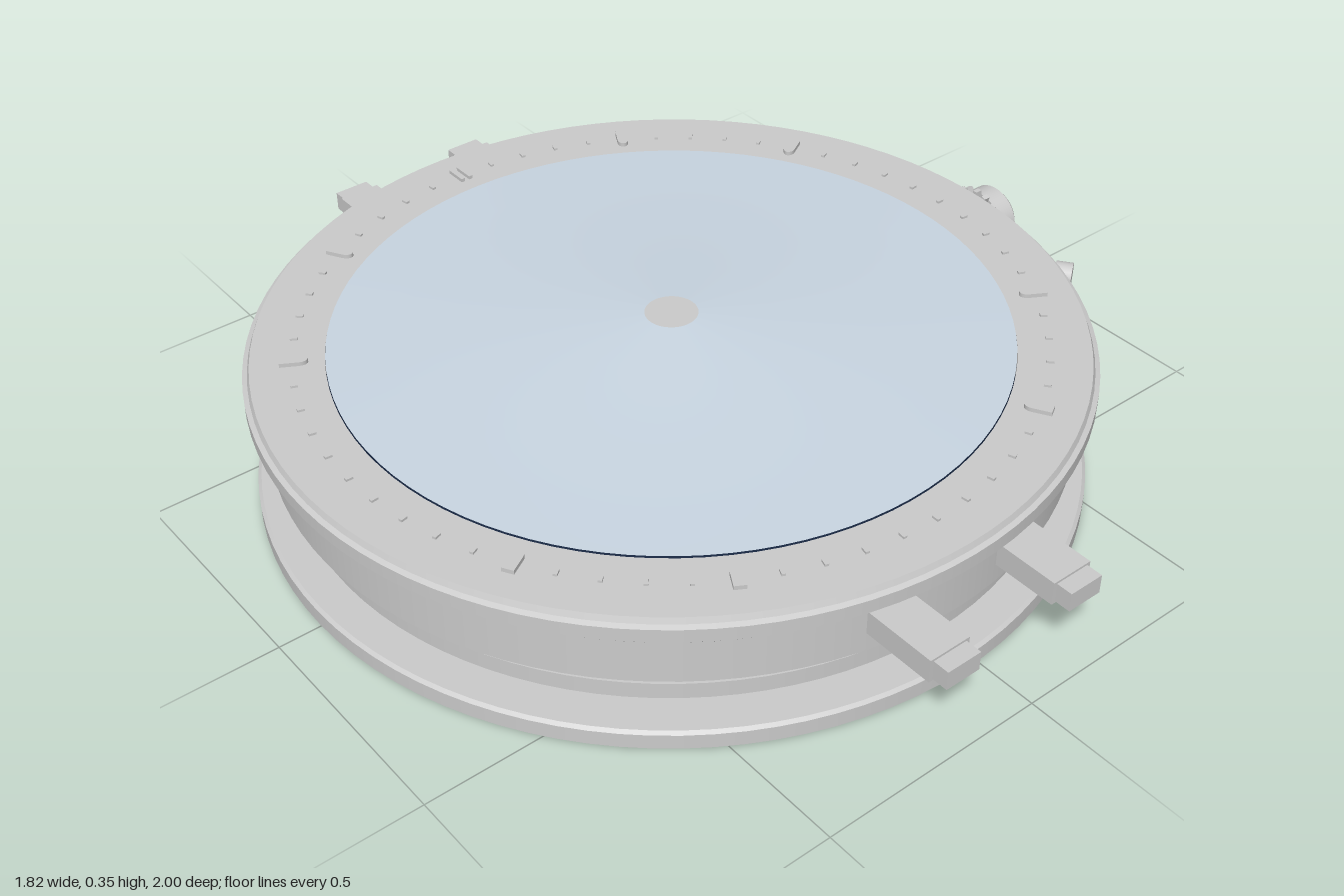
import * as THREE from 'three';

const CX = -0.045; // axis of the round case
const mat = (color, extra = {}) => new THREE.MeshStandardMaterial({ color, ...extra });
const grey = mat(0xcccccc);
const glass = mat(0xc9d6e2, { side: THREE.DoubleSide });
const blue = mat(0x2a3f8f);
const red = mat(0xd81e4a);
const gold = mat(0xd9b27c);

function add(parent, name, geometry, material, x = 0, y = 0, z = 0) {
  const mesh = new THREE.Mesh(geometry, material);
  mesh.name = name;
  mesh.position.set(x, y, z);
  parent.add(mesh);
  return mesh;
}

// Lathe with hard edges: each profile segment gets its own band
function turned(parent, name, points, material) {
  const group = new THREE.Group();
  group.name = name;
  for (let i = 0; i < points.length - 1; i++) {
    const pair = [points[i], points[i + 1]].map(([r, y]) => new THREE.Vector2(r, y));
    add(group, name + 'Band', new THREE.LatheGeometry(pair, 96), material);
  }
  parent.add(group);
  return group;
}

// Toothed wheel lying flat
function gear(parent, name, r, teeth, h, x, y, z) {
  const shape = new THREE.Shape();
  for (let i = 0; i < teeth; i++) {
    [[0, r - 0.02], [0.25, r], [0.5, r], [0.75, r - 0.02]].forEach(([t, d], k) => {
      const a = ((i + t) / teeth) * Math.PI * 2;
      shape[i + k ? 'lineTo' : 'moveTo'](Math.cos(a) * d, Math.sin(a) * d);
    });
  }
  shape.closePath();
  const geo = new THREE.ExtrudeGeometry(shape, { depth: h, bevelEnabled: false });
  add(parent, name, geo.rotateX(-Math.PI / 2), gold, x, y, z);
}

// Cylinder lying along +x
const rod = (r, length, sides = 24, r2 = r) =>
  new THREE.CylinderGeometry(r2, r, length, sides).rotateZ(-Math.PI / 2);

export function createModel() {
  const model = new THREE.Group();
  model.name = 'watch';
  const body = new THREE.Group();
  body.name = 'body';
  body.position.x = CX;
  model.add(body);

  // Case back with an inset window
  turned(body, 'caseBack', [[0.585, 0.008], [0.595, 0], [0.858, 0], [0.865, 0.006],
    [0.865, 0.039], [0.858, 0.045], [0, 0.045]], grey);
  add(body, 'backWindow', new THREE.CylinderGeometry(0.585, 0.585, 0.012, 96), mat(0xb9c6cb), 0, 0.012, 0);

  // Movement plate
  turned(body, 'movementPlate', [[0, 0.062], [0.795, 0.062], [0.795, 0.098], [0, 0.098]], grey);
  gear(body, 'largeWheel', 0.32, 72, 0.034, 0.325, 0.098, -0.2);

  // Jewels in their settings
  const jewels = [[-0.58, 0.31], [-0.52, 0.22], [-0.35, 0.48], [-0.27, 0.37],
    [-0.18, 0.22], [0.2, 0.48], [0.43, 0.31]];
  for (const [x, z] of jewels) {
    add(body, 'jewelSetting', new THREE.CylinderGeometry(0.036, 0.036, 0.014, 24), gold, x - CX, 0.105, z);
    add(body, 'jewel', new THREE.CylinderGeometry(0.014, 0.024, 0.02, 20), red, x - CX, 0.122, z);
  }

  // Blued screws
  const screws = [[-0.7, 0.06], [-0.61, -0.3], [-0.02, 0.65], [-0.02, -0.64], [0.6, 0.3], [-0.45, 0.56], [0.4, -0.56]];
  for (const [x, z] of screws) {
    add(body, 'screw', new THREE.CylinderGeometry(0.017, 0.02, 0.018, 16), blue, x - CX, 0.107, z);
  }

  // Middle case ring
  turned(body, 'middleCase', [[0.77, 0.255], [0.77, 0.135], [0.826, 0.135], [0.832, 0.141],
    [0.832, 0.25], [0.826, 0.255], [0.77, 0.255]], grey);

  // Dial and hands
  add(body, 'dial', new THREE.CylinderGeometry(0.765, 0.765, 0.012, 96), grey, 0, 0.243, 0);
  const hourHand = add(body, 'hourHand', new THREE.BoxGeometry(0.03, 0.004, 0.36), grey, -0.14, 0.252, -0.09);
  hourHand.rotation.y = 1;
  const minuteHand = add(body, 'minuteHand', new THREE.BoxGeometry(0.025, 0.004, 0.5), grey, 0.2, 0.253, -0.12);
  minuteHand.rotation.y = -1.05;
  add(body, 'secondHand', new THREE.BoxGeometry(0.01, 0.004, 0.65), red, 0, 0.259, -0.22);

  // Bezel ring
  turned(body, 'bezel', [[0.7, 0.314], [0.7, 0.264], [0.86, 0.264], [0.865, 0.269],
    [0.865, 0.298], [0.855, 0.302], [0.85, 0.314], [0.7, 0.314]], grey);

  // Hour markers and minute dots on the bezel
  const markers = new THREE.Group();
  markers.name = 'bezelMarkers';
  body.add(markers);
  for (let i = 0; i < 60; i++) {
    const arm = new THREE.Group();
    arm.name = 'markerArm';
    arm.rotation.y = -(i / 60) * Math.PI * 2;
    markers.add(arm);
    if (i === 0) {
      for (const s of [-1, 1]) add(arm, 'doubleMarker', new THREE.BoxGeometry(0.009, 0.01, 0.05), grey, s * 0.01, 0.317, -0.765);
    } else if (i % 5 === 0 && i % 15) {
      add(arm, 'hourMarker', new THREE.BoxGeometry(0.025, 0.012, 0.04), grey, 0, 0.317, -0.77);
      const tip = add(arm, 'markerTip', new THREE.CylinderGeometry(0.0125, 0.0125, 0.012, 16), grey, 0, 0.317, -0.75);
      tip.scale.z = 1.4;
    } else {
      add(arm, 'minuteMarker', new THREE.BoxGeometry(0.008, 0.006, 0.015), grey, 0, 0.316, -0.765);
    }
  }

  // Domed crystal, open at the centre, with a dark gasket
  const dome = [[0.699, 0.318], [0.58, 0.322], [0.4, 0.329], [0.2, 0.343], [0.055, 0.354]];
  add(body, 'crystal', new THREE.LatheGeometry(dome.map(([r, y]) => new THREE.Vector2(r, y)), 96), glass);
  add(body, 'gasket', new THREE.CylinderGeometry(0.699, 0.699, 0.018, 96, 1, true), mat(0x1c2d4a, { side: THREE.DoubleSide }), 0, 0.309, 0);

  // Strap lugs
  for (const x of [-0.2, 0.11]) for (const s of [-1, 1]) {
    add(model, 'lug', new THREE.BoxGeometry(0.095, 0.052, 0.165), grey, x, 0.21, s * 0.882);
    add(model, 'lugTip', new THREE.BoxGeometry(0.08, 0.042, 0.036), grey, x, 0.21, s * 0.982);
  }

  // Crown with stem and knurled collar
  const crown = new THREE.Group();
  crown.name = 'crown';
  crown.position.y = 0.21;
  model.add(crown);
  add(crown, 'crownStem', rod(0.028, 0.1), grey, 0.81);
  add(crown, 'crownCollar', rod(0.062, 0.035, 32), grey, 0.838);
  add(crown, 'crownHead', rod(0.07, 0.045, 32), grey, 0.879);
  add(crown, 'crownCap', rod(0.07, 0.01, 32, 0.06), grey, 0.9065);
  for (let i = 0; i < 20; i++) {
    const a = (i / 20) * Math.PI * 2;
    const tooth = add(crown, 'crownTooth', new THREE.BoxGeometry(0.016, 0.024, 0.011), grey,
      0.842, Math.cos(a) * 0.074, Math.sin(a) * 0.074);
    tooth.rotation.x = a;
  }

  // Pushers either side of the crown
  for (const s of [-1, 1]) {
    const pusher = new THREE.Group();
    pusher.name = 'pusher';
    pusher.position.set(0.8, 0.21, s * 0.215);
    pusher.rotation.y = -s * 0.95;
    model.add(pusher);
    add(pusher, 'pusherBase', rod(0.026, 0.04), grey, 0.005);
    add(pusher, 'pusherStem', rod(0.013, 0.06), grey, 0.04);
    add(pusher, 'pusherCap', rod(0.029, 0.038), grey, 0.072);
  }
  return model;
}
